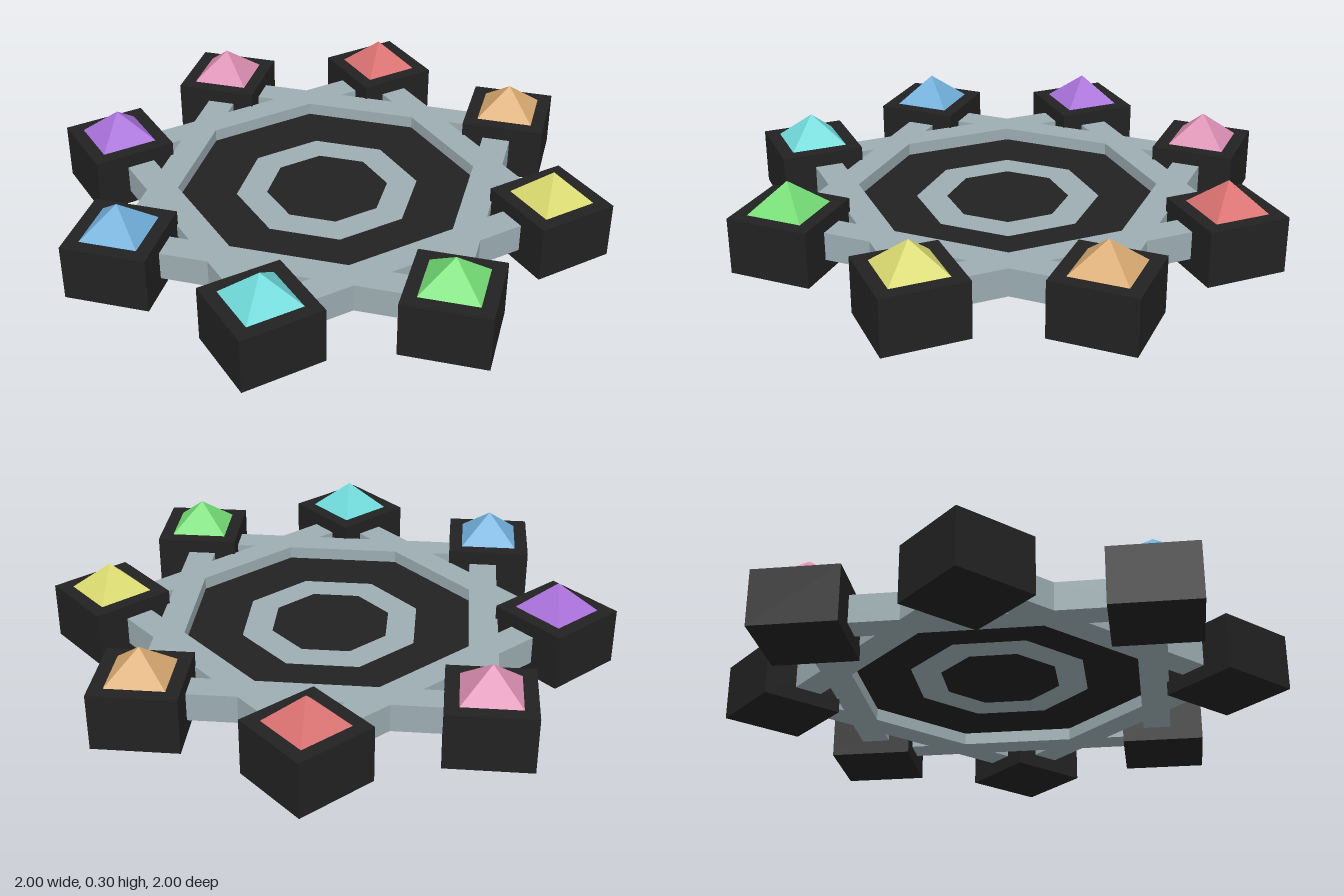
import * as THREE from 'three';

const mat = (name, color) => {
  const m = new THREE.MeshStandardMaterial({ color });
  m.name = name;
  return m;
};

// Corner points of an eight-sided outline; tips lie on the 45 degree directions
const STEP = Math.PI / 8;
const polar = (r, a) => new THREE.Vector2(r * Math.cos(a), r * Math.sin(a));
const octagon = (apothem) =>
  Array.from({ length: 8 }, (_, i) => polar(apothem / Math.cos(STEP), (2 * i + 1) * STEP));
// Outline of two crossed squares, each with the given half side
const star = (half) =>
  Array.from({ length: 16 }, (_, i) =>
    polar(i % 2 ? half / Math.cos(STEP) : half * Math.SQRT2, i * STEP));

// Flat slab lying between two heights, with holes
function slab(name, material, outline, holes, y0, y1) {
  const shape = new THREE.Shape(outline);
  for (const h of holes) shape.holes.push(new THREE.Path(h));
  const geo = new THREE.ExtrudeGeometry(shape, { depth: y1 - y0, bevelEnabled: false });
  geo.rotateX(-Math.PI / 2).translate(0, y0, 0);
  const mesh = new THREE.Mesh(geo, material);
  mesh.name = name;
  return mesh;
}

export function createModel() {
  const model = new THREE.Group();
  model.name = 'gemRing';
  const black = mat('black', 0x222222);
  const grey = mat('blueGrey', 0x9cadb2);
  const gems = [
    ['cyan', 0x70d9d9], ['green', 0x74dc74], ['yellow', 0xd9d970], ['orange', 0xd9a970],
    ['red', 0xd97070], ['pink', 0xd98cb0], ['purple', 0xa870d9], ['blue', 0x70aed9],
  ];

  // Frame of two crossed square rims, open in the middle and at each tip
  const outer = 0.59, inner = 0.49;
  const tip = inner * Math.SQRT2, w = tip - outer;
  const holes = [octagon(inner)];
  for (let i = 0; i < 8; i++) {
    const c = new THREE.Vector2();
    holes.push([[outer, -w], [tip, 0], [outer, w]].map(([x, y]) =>
      new THREE.Vector2(x, y).rotateAround(c, i * Math.PI / 4)));
  }
  model.add(slab('crossedFrame', grey, star(outer), holes, 0.05, 0.15));

  // Thin floor with an inlaid ring
  const lo = 0.095, hi = 0.105;
  model.add(slab('floor', black, star(inner), [octagon(0.3)], lo, hi));
  model.add(slab('floorRing', grey, octagon(0.3), [octagon(0.2)], lo, hi));
  model.add(slab('floorCentre', black, octagon(0.2), [], lo, hi));

  // Eight pedestals, each with a corner towards the centre and a pyramid gem on top
  const boxGeo = new THREE.BoxGeometry(0.295, 0.2, 0.295).rotateY(Math.PI / 4).translate(0, 0.1, 0);
  const gemGeo = new THREE.ConeGeometry(0.1414, 0.1, 4, 1, true).translate(0, 0.25, 0).toNonIndexed();
  gemGeo.computeVertexNormals();
  gems.forEach(([name, color], i) => {
    const a = i * Math.PI / 4;
    const station = new THREE.Group();
    station.name = name + 'Station';
    const box = new THREE.Mesh(boxGeo, black);
    box.name = 'pedestal';
    const gem = new THREE.Mesh(gemGeo, mat(name, color));
    gem.name = name + 'Gem';
    station.add(box, gem);
    station.position.set(0.7914 * Math.sin(a), 0, 0.7914 * Math.cos(a));
    station.rotation.y = a;
    model.add(station);
  });
  return model;
}
